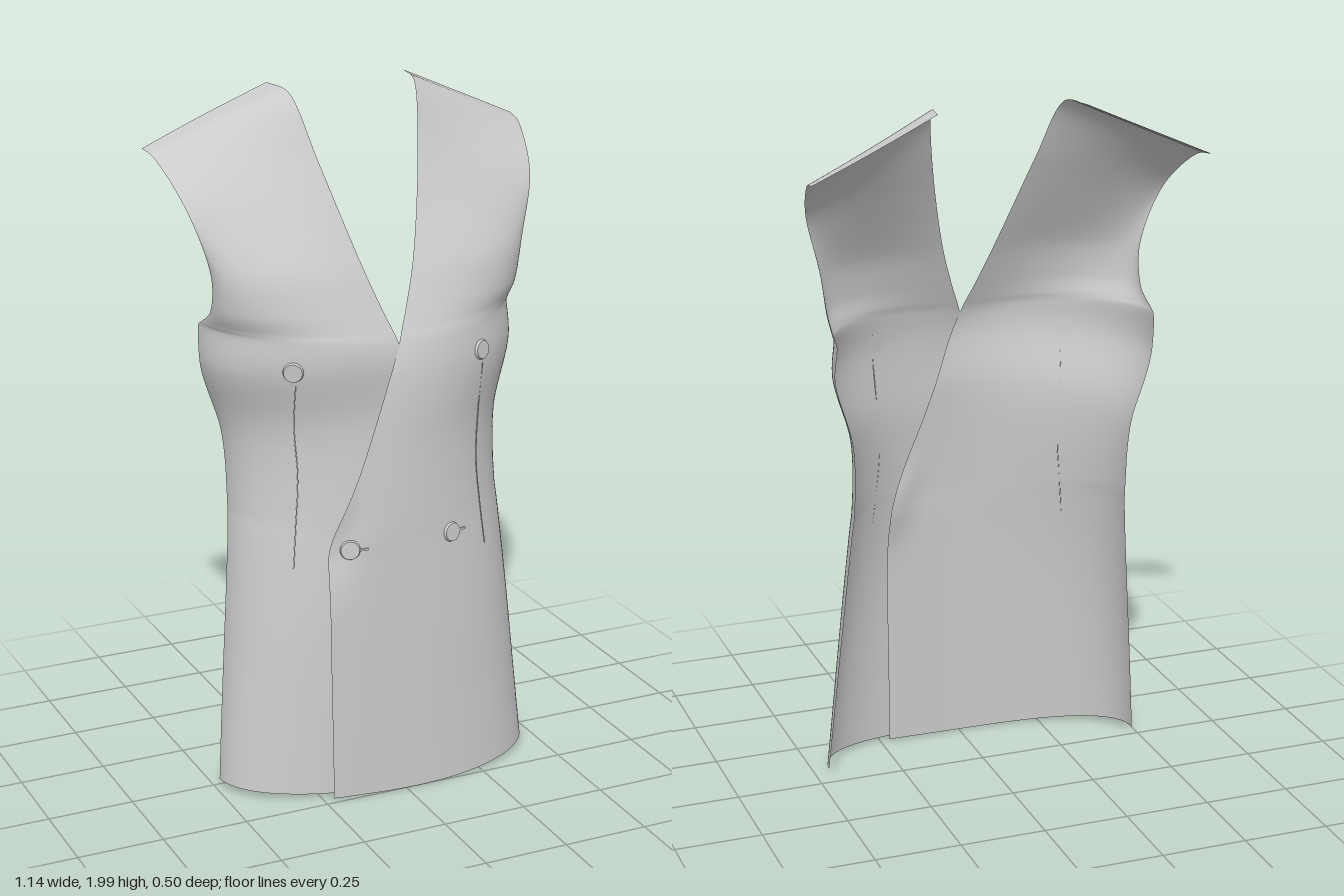
import * as THREE from 'three';

const cloth = new THREE.MeshStandardMaterial({ color: 0xcccccc, side: THREE.DoubleSide });
const V = (x, y, z) => new THREE.Vector3(x, y, z);
const { lerp, smoothstep } = THREE.MathUtils;
const curve = points => new THREE.CatmullRomCurve3(points.map(p => V(...p)), false, 'centripetal');

// Front edge: hem, lapped corner, neckline, shoulder
const FRONT_EDGE = curve([
  [-0.225, 0.012, 0.24], [-0.225, 0.72, 0.23], [-0.215, 0.78, 0.23], [-0.125, 1, 0.222], [-0.033, 1.25, 0.207],
  [0, 1.33, 0.19], [0.013, 1.365, 0.178], [0.035, 1.42, 0.158],
  [0.08, 1.55, 0.11], [0.15, 1.81, -0.01], [0.19, 1.985, -0.115], [0.21, 1.998, -0.228],
]);
// Side edge: hem, waist, underarm corner, armhole, shoulder tip (paired with the points above)
const SIDE_EDGE = curve([
  [0.463, 0.025, 0.045], [0.405, 0.76, -0.03], [0.4, 0.84, -0.045], [0.408, 1.05, -0.07], [0.465, 1.25, -0.098],
  [0.465, 1.36, -0.12], [0.465, 1.375, -0.098], [0.463, 1.42, -0.033],
  [0.472, 1.53, 0], [0.52, 1.7, -0.035], [0.558, 1.825, -0.18], [0.567, 1.84, -0.253],
]);

// Spans one front panel between its edges; side = 1 is the left (outer) panel, -1 the right (under) one
function panelGeometry(side) {
  const rows = 110, cols = 40, positions = [], index = [];
  for (let i = 0; i <= rows; i++) {
    const front = FRONT_EDGE.getPoint(i / rows), outer = SIDE_EDGE.getPoint(i / rows);
    // Squarer section at the hem, rounder over the chest, straight at the shoulder
    const power = lerp(4, 2.1, smoothstep(front.y, 0.4, 1.1));
    const straight = smoothstep(front.y, 1.5, 1.97);
    for (let j = 0; j <= cols; j++) {
      const u = Math.sin(j / cols * Math.PI / 2), bow = Math.sin(Math.PI * u);
      const p = front.clone().lerp(outer, u);
      const round = Math.sqrt(Math.max(0, 1 - u ** power));
      p.z = lerp(outer.z, front.z, lerp(round, 1 - u, straight)) + bow * lerp(0.014, -0.008, straight);
      // Lapped corner rolls inward
      p.z -= 0.025 * Math.exp(-((u / 0.1) ** 2) - ((p.y - 0.76) / 0.1) ** 2);
      // Hem dips a little at the middle
      p.y -= 0.014 * bow * (1 - smoothstep(p.y, 0, 0.4));
      if (side < 0) {
        // The under panel sits behind the other and is slightly wider at the side
        p.z -= 0.038 * (1 - smoothstep(p.y, 1.1, 1.36));
        p.x *= -1 - 0.045 * smoothstep(p.x, 0.2, 0.45) * (1 - 0.8 * smoothstep(p.y, 0, 1.5));
      }
      positions.push(p.x, p.y, p.z);
      if (i < rows && j < cols) {
        const a = i * (cols + 1) + j, b = a + 1, c = a + cols + 1, d = c + 1;
        if (side > 0) index.push(a, b, d, a, d, c);
        else index.push(a, d, b, a, c, d);
      }
    }
  }
  const g = new THREE.BufferGeometry();
  g.setAttribute('position', new THREE.Float32BufferAttribute(positions, 3));
  g.setIndex(index);
  g.computeVertexNormals();
  return g;
}

// Point and normal of the cloth at (x, y) as seen from the front
function onCloth(g, x, y) {
  const pos = g.attributes.position;
  let best = 0, bestD = Infinity;
  for (let i = 0; i < pos.count; i++) {
    const d = (pos.getX(i) - x) ** 2 + (pos.getY(i) - y) ** 2;
    if (d < bestD) { bestD = d; best = i; }
  }
  const n = V(0, 0, 0).fromBufferAttribute(g.attributes.normal, best);
  const p = V(0, 0, 0).fromBufferAttribute(pos, best);
  // Slide along the tangent plane to the exact (x, y)
  const z = p.z - (n.x * (x - p.x) + n.y * (y - p.y)) / n.z;
  return { p: V(x, y, z), n };
}

export function createModel() {
  const model = new THREE.Group();
  model.name = 'waistcoatFront';
  const add = (name, geometry) => {
    const mesh = new THREE.Mesh(geometry, cloth);
    mesh.name = name;
    model.add(mesh);
    return mesh;
  };

  const left = panelGeometry(1), right = panelGeometry(-1);
  add('leftPanel', left);
  add('rightPanel', right);

  // Buttons; the lower pair also has buttonholes
  const buttons = [[left, 0.27, 1.27], [right, -0.295, 1.27], [left, 0.155, 0.76, true], [left, -0.165, 0.76, true]];
  for (const [g, x, y, hole] of buttons) {
    const { p, n } = onCloth(g, x, y);
    const button = add('button', new THREE.CylinderGeometry(0.026, 0.029, 0.008, 28));
    button.position.copy(p).addScaledVector(n, 0.003);
    button.quaternion.setFromUnitVectors(V(0, 1, 0), n);
    if (hole) {
      const at = onCloth(g, x + 0.036, y);
      const slit = add('buttonhole', new THREE.BoxGeometry(0.026, 0.006, 0.006));
      slit.position.copy(at.p).addScaledVector(at.n, 0.002);
      slit.quaternion.setFromUnitVectors(V(0, 0, 1), at.n);
    }
  }

  // Dart seams running down from the upper buttons
  for (const [name, g, s, shift] of [['leftDart', left, 1, 0], ['rightDart', right, -1, -0.012]]) {
    const path = [[0.275, 1.23], [0.268, 1.1], [0.26, 0.95], [0.27, 0.82], [0.283, 0.69]].map(([x, y]) => {
      const { p, n } = onCloth(g, s * x + shift, y);
      return p.addScaledVector(n, 0.001);
    });
    add(name, new THREE.TubeGeometry(new THREE.CatmullRomCurve3(path), 30, 0.0015, 6));
  }
  return model;
}
